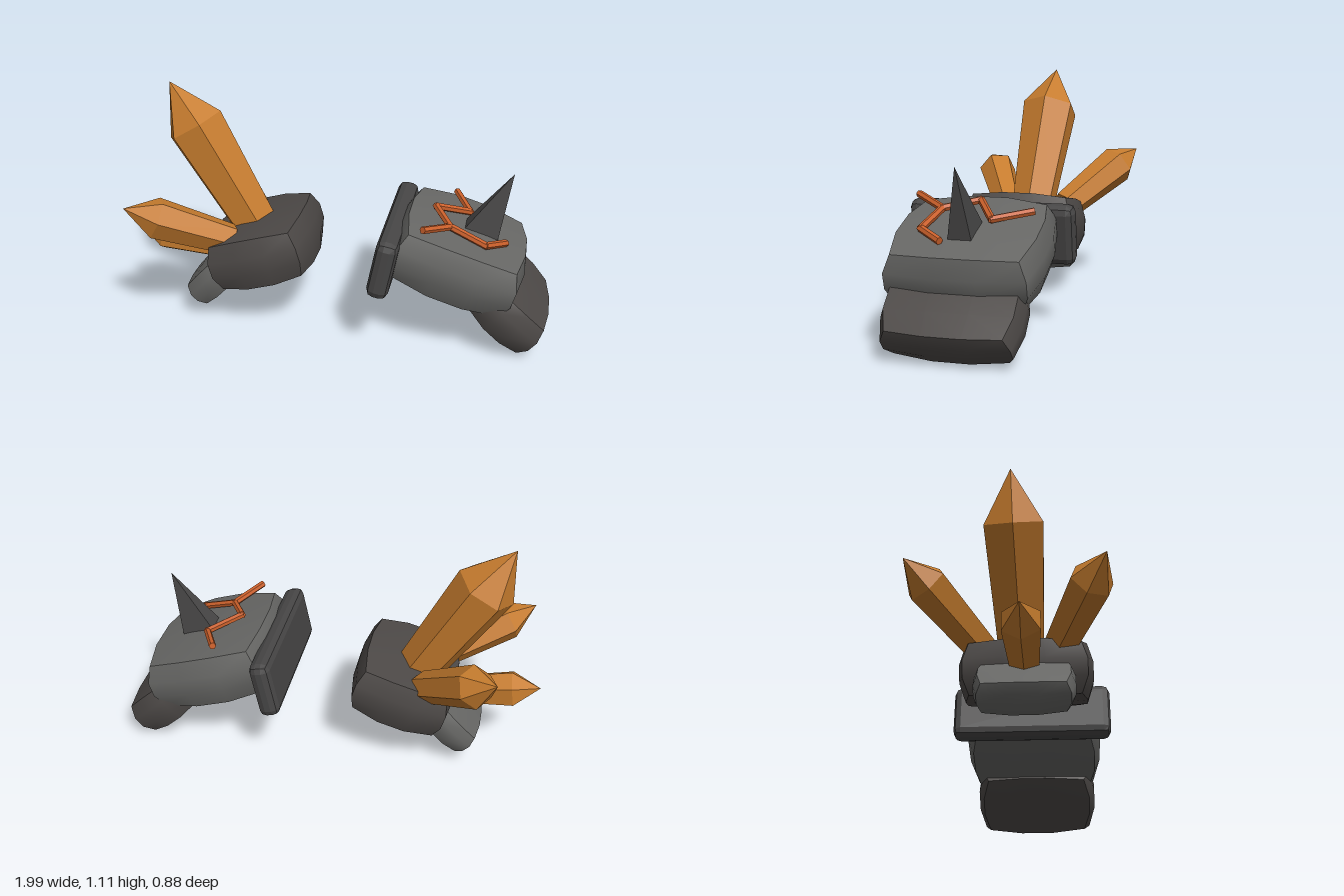
import * as THREE from 'three';
import { RoundedBoxGeometry } from 'three/addons/geometries/RoundedBoxGeometry.js';

const material = (name, color) => {
  const m = new THREE.MeshStandardMaterial({ color });
  m.name = name;
  return m;
};
const UP = new THREE.Vector3(0, 1, 0);
const V = (a) => new THREE.Vector3(...a);

// Box whose faces bulge outwards; edges stay sharp
function bulgedBox(w, h, d, k = 0.2) {
  const g = new THREE.BoxGeometry(2, 2, 2, 3, 3, 3);
  const p = g.attributes.position;
  for (let i = 0; i < p.count; i++) {
    const x = p.getX(i), y = p.getY(i), z = p.getZ(i);
    p.setXYZ(i,
      x * w / 2 * (1 - k * (y * y + z * z) / 2),
      y * h / 2 * (1 - k * (x * x + z * z) / 2),
      z * d / 2 * (1 - k * (x * x + y * y) / 2));
  }
  g.computeVertexNormals();
  return g;
}

// Faceted copy of a geometry
function faceted(g) {
  const f = g.index ? g.toNonIndexed() : g;
  f.computeVertexNormals();
  return f;
}

// Six-sided crystal standing on its base
function crystalGeometry(length, shoulder, rBase, rShoulder) {
  const profile = [[0, 0], [rBase, 0], [rShoulder, length * shoulder], [0, length]]
    .map(([r, y]) => new THREE.Vector2(r, y));
  return faceted(new THREE.LatheGeometry(profile, 6).rotateY(Math.PI / 2));
}

export function createModel() {
  const darkRock = material('dark rock', 0x4d4947);
  const lightRock = material('light rock', 0x676765);
  const cuffRock = material('cuff rock', 0x474646);
  const amber = material('amber crystal', 0xc67c2e);
  const ember = material('ember', 0xcb602b);

  const model = new THREE.Group();
  model.name = 'stoneFists';
  const add = (parent, name, geometry, mat, pos, tilt = 0) => {
    const m = new THREE.Mesh(geometry, mat);
    m.name = name;
    m.position.set(...pos);
    m.rotation.z = tilt;
    parent.add(m);
    return m;
  };
  const Z = 0.053;

  // Crystal-bearing stone
  const right = new THREE.Group();
  right.name = 'crystalStone';
  model.add(right);
  add(right, 'crystalStoneBody', bulgedBox(0.495, 0.275, 0.59), darkRock, [-0.36, 0.355, Z], 0.28);
  add(right, 'crystalStoneFoot', bulgedBox(0.30, 0.16, 0.43), lightRock, [-0.59, 0.2, Z], 0.8);

  // Crystals: base, tip, shoulder fraction, base and shoulder radius
  [
    ['tallCrystal', [-0.415, 0.42, 0.035], [-0.825, 1.11, 0.005], 0.71, 0.11, 0.146],
    ['backCrystal', [-0.465, 0.43, -0.13], [-0.805, 0.695, -0.44], 0.72, 0.075, 0.098],
    ['frontCrystal', [-0.5, 0.41, 0.19], [-0.94, 0.62, 0.395], 0.71, 0.075, 0.098],
    ['sideCrystal', [-0.55, 0.305, Z], [-1, 0.372, 0.05], 0.72, 0.068, 0.09],
  ].forEach(([name, a, b, s, r0, r1]) => {
    const axis = V(b).sub(V(a));
    const c = add(right, name, crystalGeometry(axis.length(), s, r0, r1), amber, a);
    c.quaternion.setFromUnitVectors(UP, axis.normalize());
  });

  // Spiked stone with cuff and knuckle plate
  const left = new THREE.Group();
  left.name = 'spikedStone';
  model.add(left);
  add(left, 'spikedStoneBody', bulgedBox(0.63, 0.285, 0.685), lightRock, [0.565, 0.393, Z], -0.3);
  add(left, 'knucklePlate', bulgedBox(0.37, 0.215, 0.615), darkRock, [0.808, 0.181, Z + 0.004], -0.73);
  add(left, 'cuff', faceted(new RoundedBoxGeometry(0.1, 0.28, 0.765, 1, 0.036)),
    cuffRock, [0.254, 0.428, Z], -0.2);

  // Four-sided spike
  const spikeGeo = new THREE.ConeGeometry(0.088, 0.37, 4).rotateY(Math.PI / 4).scale(1.5, 1, 1);
  const spike = add(left, 'spike', faceted(spikeGeo), cuffRock, [0.719, 0.622, Z + 0.005]);
  spike.quaternion.setFromUnitVectors(UP, V([0.41, 0.91, 0]).normalize());

  // Glowing cracks lying over the sloped top
  const cracks = new THREE.Group();
  cracks.name = 'cracks';
  left.add(cracks);
  const onTop = ([x, z]) => new THREE.Vector3(x, 0.613 - 0.365 * (x - 0.42), z);
  [
    [[0.525, -0.2], [0.6, -0.04], [0.45, 0.05], [0.53, 0.2], [0.425, 0.34]],
    [[0.53, 0.2], [0.695, 0.24], [0.775, 0.135]],
  ].forEach((path) => {
    for (let i = 1; i < path.length; i++) {
      const a = onTop(path[i - 1]), b = onTop(path[i]);
      const dir = b.clone().sub(a);
      const rod = faceted(new THREE.CylinderGeometry(0.017, 0.017, dir.length() + 0.014, 6));
      const m = add(cracks, 'crackSegment', rod, ember, a.add(b).multiplyScalar(0.5).toArray());
      m.quaternion.setFromUnitVectors(UP, dir.normalize());
    }
  });

  return model;
}
